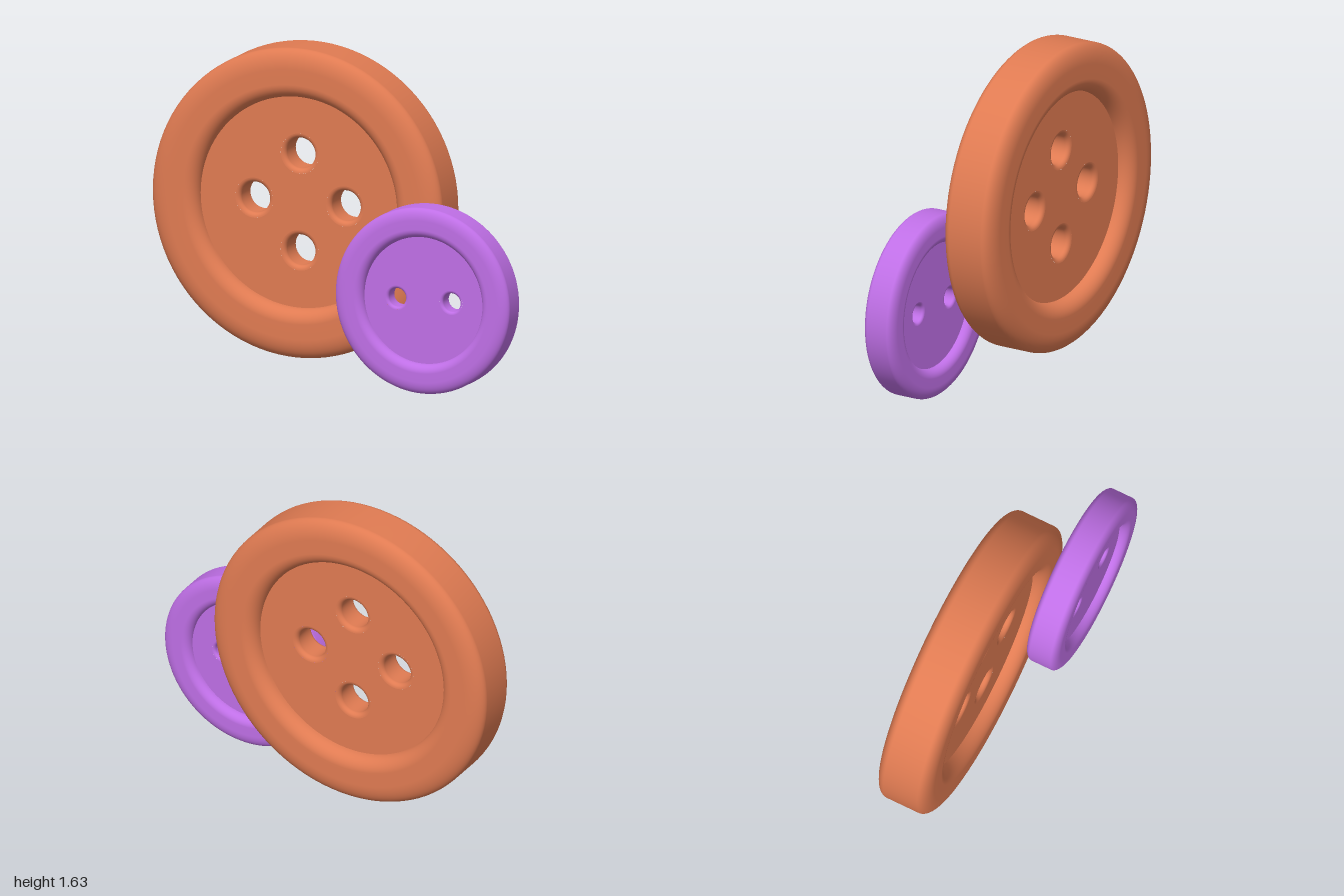
import * as THREE from 'three';

const RADIUS = 0.777, HALF = 0.143;            // outer radius and half thickness
const RECESS = 0.53, FLOOR = 0.073;            // recess radius and half thickness of its plate
const HOLE = 0.077, BEVEL = 0.024, SPREAD = 0.243;

// Quarter-ellipse points around (cx, cy) from angle a to angle b
function arc(cx, cy, rx, ry, a, b, n = 10) {
  return Array.from({ length: n + 1 }, (_, i) => {
    const t = a + (b - a) * i / n;
    return new THREE.Vector2(cx + rx * Math.cos(t), cy + ry * Math.sin(t));
  });
}

// Lathe turned so that its axis runs front to back
function turned(points, segments) {
  return new THREE.LatheGeometry(points, segments).rotateX(Math.PI / 2);
}

function createButton(name, color, holeCount) {
  const button = new THREE.Group();
  button.name = name;
  const material = new THREE.MeshStandardMaterial({ color });
  const add = (partName, geometry) => {
    const mesh = new THREE.Mesh(geometry, material);
    mesh.name = partName;
    button.add(mesh);
    return mesh;
  };
  const q = Math.PI / 2;

  // Raised rim with soft inner and outer shoulders
  const inX = 0.07, inY = HALF - FLOOR, outX = 0.1, outY = 0.055;
  add('rim', turned([
    ...arc(RECESS + inX, -FLOOR, inX, inY, 2 * q, 3 * q),
    ...arc(RADIUS - outX, -HALF + outY, outX, outY, -q, 0),
    ...arc(RADIUS - outX, HALF - outY, outX, outY, 0, q),
    ...arc(RECESS + inX, FLOOR, inX, inY, q, 2 * q),
  ], 96));

  // Thread holes, evenly spaced on a circle
  const centres = Array.from({ length: holeCount }, (_, i) => {
    const a = i * 2 * Math.PI / holeCount;
    return new THREE.Vector2(SPREAD * Math.cos(a), SPREAD * Math.sin(a));
  });

  // Recessed plate faces, front and back
  const disc = new THREE.Shape().absarc(0, 0, RECESS + 0.004, 0, Math.PI * 2);
  for (const c of centres) {
    disc.holes.push(new THREE.Path().absarc(c.x, c.y, HOLE + BEVEL, 0, Math.PI * 2, true));
  }
  const face = new THREE.ShapeGeometry(disc, 48);
  add('plateFront', face.clone().translate(0, 0, FLOOR));
  add('plateBack', face.clone().rotateY(Math.PI).translate(0, 0, -FLOOR));

  // Rounded linings through the holes
  const lining = turned([
    ...arc(HOLE + BEVEL, FLOOR - BEVEL, BEVEL, BEVEL, q, 2 * q, 6),
    ...arc(HOLE + BEVEL, -FLOOR + BEVEL, BEVEL, BEVEL, 2 * q, 3 * q, 6),
  ], 48);
  for (const c of centres) add('holeLining', lining).position.set(c.x, c.y, 0);

  return button;
}

export function createModel() {
  const model = new THREE.Group();
  model.name = 'buttons';

  const large = createButton('largeButton', 0xe07b52, 4);
  large.position.set(-0.223, 0.85, -0.087);

  const small = createButton('smallButton', 0xbf6fe6, 2);
  small.scale.setScalar(0.6);
  small.position.set(0.533, 0.467, 0.144);

  model.add(large, small);
  return model;
}
